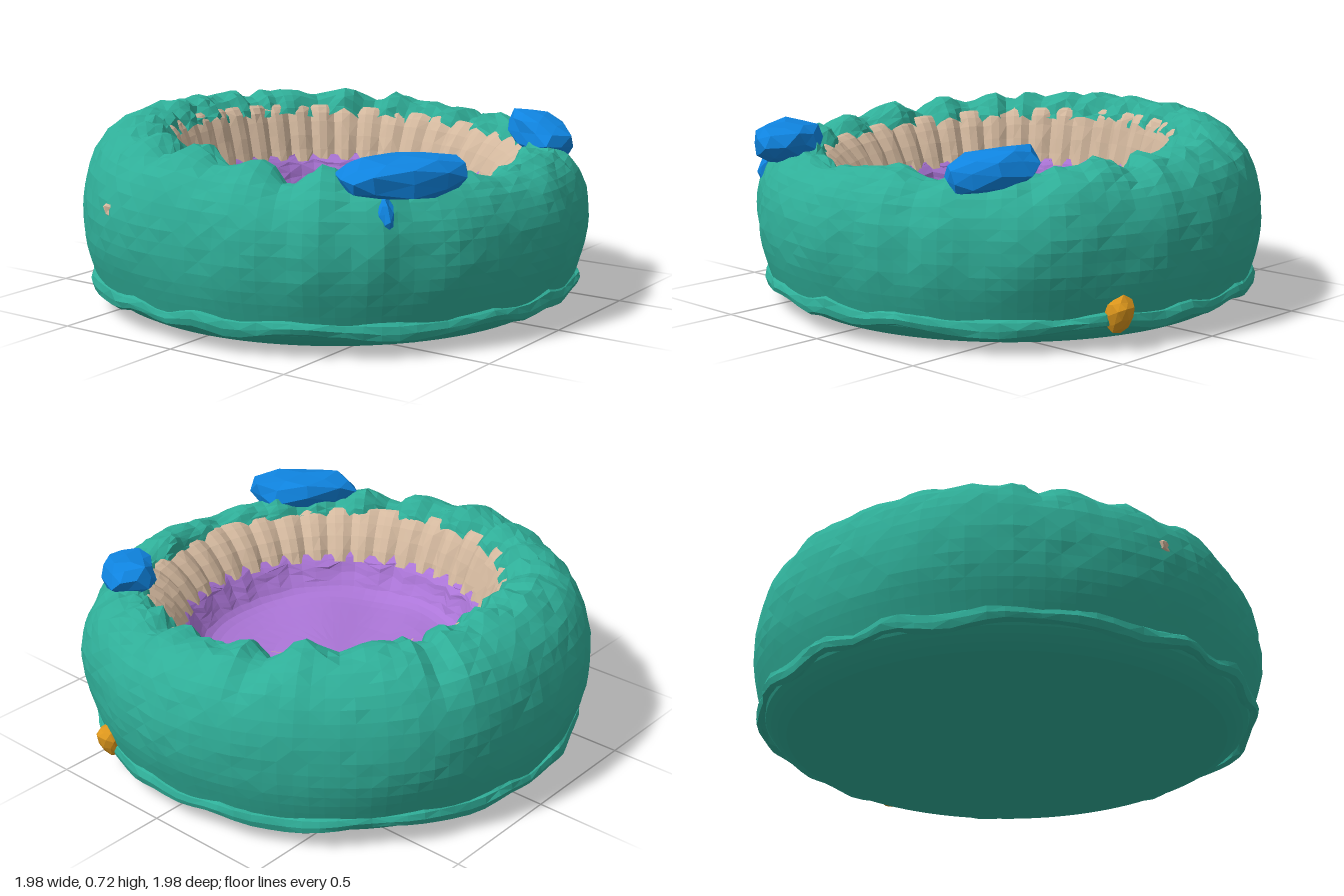
import * as THREE from 'three';

const mat = (name, color) => Object.assign(new THREE.MeshStandardMaterial({ color }), { name });
const TAU = Math.PI * 2;

// Repeatable scatter in -1..1
const hash = (a, b, c = 0) => {
  const s = Math.sin(a * 127.1 + b * 311.7 + c * 74.7) * 43758.5453;
  return (s - Math.floor(s)) * 2 - 1;
};
const smooth = (a, b, x) => THREE.MathUtils.smoothstep(x, a, b);
const spline = pts => new THREE.SplineCurve(pts.map(p => new THREE.Vector2(...p)));

// Faceted surface of revolution; rule(u, angle, i, j) gives [radius, height]
function revolve(rows, cols, rule) {
  const pos = [], index = [];
  for (let i = 0; i <= rows; i++) {
    for (let j = 0; j < cols; j++) {
      const a = (j / cols) * TAU;
      const [r, y] = rule(i / rows, a, i, j);
      pos.push(r * Math.cos(a), y, r * Math.sin(a));
    }
  }
  for (let i = 0; i < rows; i++) {
    for (let j = 0; j < cols; j++) {
      const k = (j + 1) % cols;
      const a = i * cols + j, b = a + cols, c = i * cols + k, d = c + cols;
      if ((i + j) % 2) index.push(a, b, c, b, d, c);
      else index.push(a, b, d, a, d, c);
    }
  }
  const geo = new THREE.BufferGeometry();
  geo.setAttribute('position', new THREE.Float32BufferAttribute(pos, 3));
  geo.setIndex(index);
  const flat = geo.toNonIndexed();
  flat.computeVertexNormals();
  return flat;
}

// Blend a front and a back profile around the bed
function blended(front, back) {
  const f = spline(front), b = spline(back);
  return (u, a) => {
    const t = (1 - Math.sin(a)) / 2;
    return f.getPoint(u).lerp(b.getPoint(u), t);
  };
}

// Lumpy, slightly squared faceted pebble
function pebble(size, seed, rough = 0.1) {
  const geo = new THREE.IcosahedronGeometry(1, 1);
  const p = geo.attributes.position, v = new THREE.Vector3();
  for (let i = 0; i < p.count; i++) {
    v.fromBufferAttribute(p, i);
    const k = 1 + rough * hash(Math.round(v.x * 50), Math.round(v.y * 50), Math.round(v.z * 50) + seed);
    const sq = n => Math.sign(n) * Math.pow(Math.abs(n), 0.8) * k * 0.97;
    p.setXYZ(i, sq(v.x) * size[0], sq(v.y) * size[1], sq(v.z) * size[2]);
  }
  geo.computeVertexNormals();
  return geo;
}

export function createModel() {
  const group = new THREE.Group();
  const green = mat('green fabric', 0x2fae98);
  const beige = mat('beige lining', 0xd3b89e);
  const purple = mat('purple cushion', 0xac76d8);
  const blue = mat('blue pads', 0x0f84e0);
  const orange = mat('orange tag', 0xdc961c);

  const add = (name, geo, material, at = [0, 0, 0], rot = [0, 0, 0]) => {
    const m = new THREE.Mesh(geo, material);
    m.name = name;
    m.position.set(...at);
    m.rotation.set(...rot);
    group.add(m);
    return m;
  };

  // Puffy outer cover: base, bulging wall and gathered rim, higher at the back
  const base = [[0, 0], [0.45, 0], [0.78, 0.005], [0.91, 0.06], [0.95, 0.14], [0.985, 0.28]];
  const cover = blended(
    [...base, [0.98, 0.42], [0.93, 0.53], [0.85, 0.59], [0.77, 0.59], [0.73, 0.54]],
    [...base, [0.98, 0.45], [0.92, 0.61], [0.8, 0.7], [0.68, 0.7], [0.61, 0.62]]);
  const folds = [[-1.15, 0.05], [-0.35, 0.025], [0.25, 0.02], [-2.3, 0.03], [-2.85, 0.025], [2.75, 0.025], [0.7, 0.03]];
  add('cover', revolve(34, 112, (u, a, i, j) => {
    const p = cover(u, a);
    const lift = smooth(0.15, 0.35, p.y);
    const rim = smooth(0.68, 0.92, u);
    const drape = smooth(-0.5, 0.6, Math.sin(a)) * lift;
    // gathers sharpen toward the opening, long soft creases run down the front
    let d = rim * 0.013 * (Math.sin(a * 23 + 2 * Math.sin(a * 3) + u * 4) + Math.sin(a * 14 + 3 * Math.sin(a * 2)));
    d += drape * 0.007 * Math.sin(a * 19 + 2 * Math.sin(a * 5) + u * 3);
    d += lift * 0.006 * Math.sin(a * 7 + u * 5) + hash(i, j) * (0.003 * lift + 0.006 * rim);
    for (const [at, depth] of folds) {
      const w = Math.atan2(Math.sin(a - at), Math.cos(a - at)) + 0.15 * (u - 0.8);
      d -= depth * smooth(0.6, 0.85, u) * Math.exp(-((w / 0.055) ** 2));
    }
    const up = smooth(0.42, 0.62, p.y);
    return [p.x + d * (1 - 1.5 * up * rim), Math.max(0, p.y + d * up)];
  }), green);

  // Wavy piping around the foot
  add('piping', revolve(8, 96, (u, a, i, j) => {
    const f = u * TAU;
    const wave = 0.011 * Math.sin(a * 13 + 2 * Math.sin(a * 4));
    const jit = hash(i % 8, j, 5) * 0.003;
    return [0.938 + 0.022 * Math.cos(f) + 0.007 * Math.sin(a * 17) + jit,
      0.1 + wave + (0.032 + 0.006 * Math.sin(a * 9)) * Math.sin(f) + jit];
  }), green);

  // Quilted lining, a ring of small pads inside the opening
  const lining = blended(
    [[0.765, 0.565], [0.74, 0.56], [0.69, 0.53], [0.63, 0.47], [0.59, 0.4]],
    [[0.65, 0.66], [0.625, 0.64], [0.605, 0.59], [0.58, 0.5], [0.56, 0.42]]);
  add('lining', revolve(6, 120, (u, a, i, j) => {
    const p = lining(u, a);
    const pad = j % 3 === 0 ? 0.012 : -0.004;
    return [p.x + pad + hash(i, j, 9) * 0.003, p.y - pad * 0.4];
  }), beige);

  // Sunken cushion with puckered sides
  const seat = blended(
    [[0.615, 0.43], [0.585, 0.4], [0.555, 0.34], [0.5, 0.29], [0.35, 0.28], [0, 0.28]],
    [[0.575, 0.45], [0.55, 0.41], [0.53, 0.34], [0.49, 0.29], [0.35, 0.28], [0, 0.28]]);
  add('cushion', revolve(14, 64, (u, a, i, j) => {
    const p = seat(u, a);
    const side = 1 - smooth(0.3, 0.6, u);
    const d = side * (0.011 * Math.sin(a * 21 + 2 * Math.sin(a * 4)) + 0.007 * hash(i, j, 3));
    const x = p.x * Math.cos(a), z = p.x * Math.sin(a);
    const crease = 0.006 * Math.sin(x * 9 + z * 7 + 2 * Math.sin(z * 4));
    return [Math.max(0, p.x + d), p.y + d * 0.8 + crease * (1 - side)];
  }), purple);

  // Pads resting on the front of the rim
  add('rightPad', pebble([0.24, 0.08, 0.135], 1), blue, [-0.545, 0.625, 0.675], [0.1, -0.69, 0.08]);
  add('leftPad', pebble([0.18, 0.075, 0.105], 2), blue, [0.515, 0.625, 0.625], [0.15, 1.03, 0.08]);
  add('rightPadTip', pebble([0.03, 0.065, 0.035], 3, 0.2), blue, [-0.66, 0.505, 0.675], [-0.3, 0, -0.15]);

  // Small tag at the foot and knot on the back wall
  add('tag', pebble([0.05, 0.07, 0.055], 4), orange, [0.87, 0.13, 0.37], [0, 0, -0.3]);
  add('knot', pebble([0.022, 0.025, 0.025], 5, 0.25), beige, [-0.905, 0.44, -0.355]);

  return group;
}
